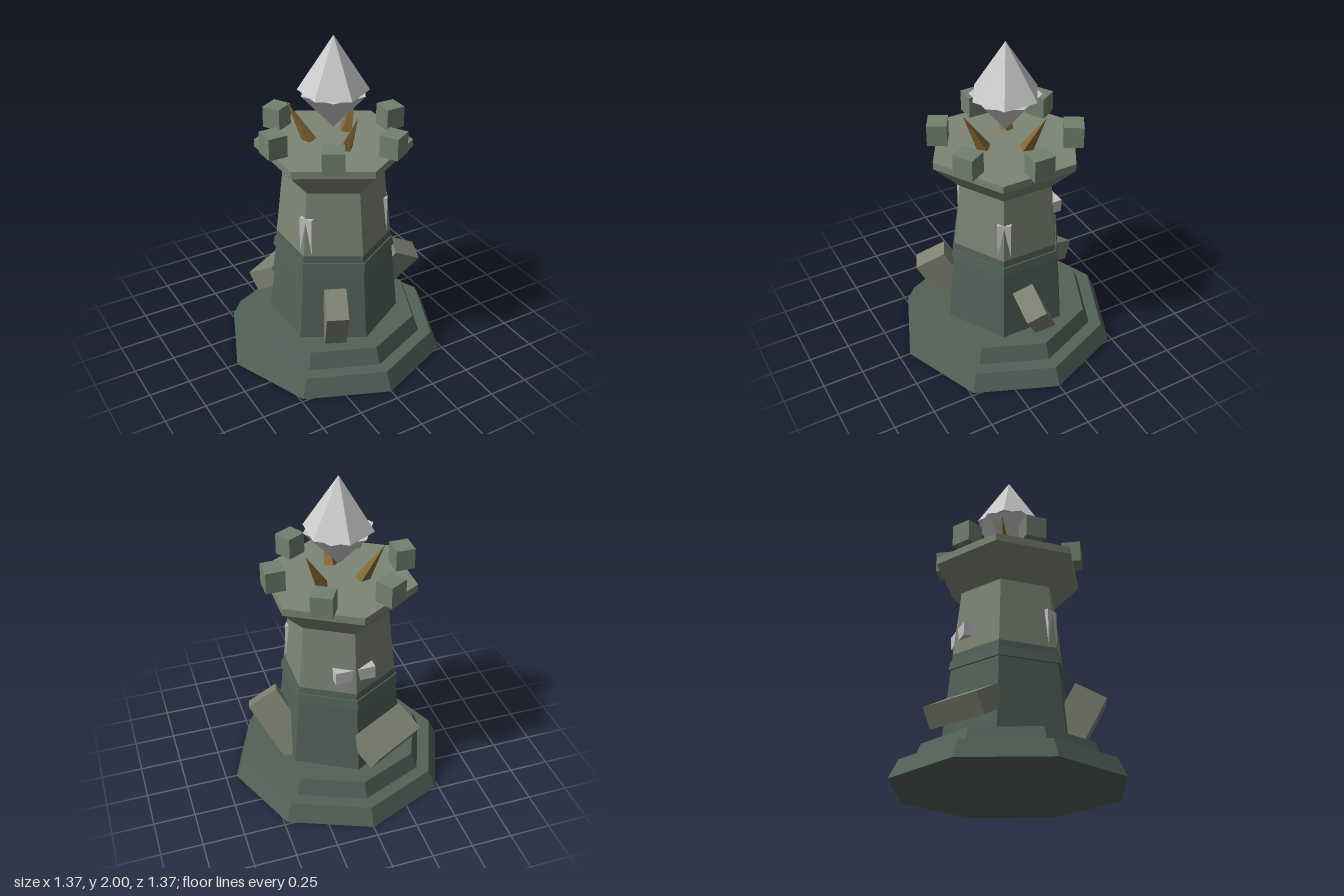
import * as THREE from 'three';

function material(name, color) {
  const m = new THREE.MeshStandardMaterial({ color, flatShading: true });
  m.name = name;
  return m;
}

export function createModel() {
  const model = new THREE.Group();
  model.name = 'tower';
  const darkStone = material('dark stone', 0x526259);
  const paleStone = material('pale stone', 0x7d8575);
  const mossStone = material('moss stone', 0x728170);
  const rock = material('rock', 0x7d8272);
  const silver = material('silver', 0xcccccc);
  const plaque = material('pale grey', 0xc2bfc2);
  const bronze = material('bronze', 0x876b36);

  function add(name, geometry, mat, parent = model) {
    const mesh = new THREE.Mesh(geometry, mat);
    mesh.name = name;
    parent.add(mesh);
    return mesh;
  }

  // Tapered prism standing between two heights
  function tier(name, sides, y0, y1, r0, r1, mat) {
    const mesh = add(name, new THREE.CylinderGeometry(r1, r0, y1 - y0, sides), mat);
    mesh.position.y = (y0 + y1) / 2;
    return mesh;
  }

  // Octagonal base and hexagonal shaft
  tier('baseStep', 8, 0, 0.11, 0.683, 0.63, darkStone);
  tier('upperStep', 8, 0.11, 0.21, 0.55, 0.51, darkStone);
  tier('lowerShaft', 6, 0.21, 0.76, 0.398, 0.344, darkStone);
  tier('shaftBand', 6, 0.66, 0.717, 0.367, 0.357, darkStone);
  tier('upperShaft', 6, 0.76, 1.16, 0.344, 0.3, paleStone);
  tier('flaredCrown', 6, 1.16, 1.325, 0.3, 0.458, paleStone);
  tier('crownSlab', 6, 1.325, 1.37, 0.458, 0.458, paleStone);

  // Six battlement blocks
  for (let i = 0; i < 6; i++) {
    const arm = new THREE.Group();
    arm.name = 'battlement';
    arm.rotation.y = (i * Math.PI) / 3;
    model.add(arm);
    add('battlementBlock', new THREE.BoxGeometry(0.115, 0.13, 0.125), mossStone, arm)
      .position.set(0.386, 1.435, 0);
  }

  // Three outward-leaning spikes around the crystal
  for (let i = 0; i < 3; i++) {
    const arm = new THREE.Group();
    arm.name = 'spikeArm';
    arm.rotation.y = (i * 2 * Math.PI) / 3;
    model.add(arm);
    const spike = add('spike', new THREE.ConeGeometry(0.043, 0.28, 4), bronze, arm);
    spike.position.set(0, 1.485, 0.201);
    spike.rotation.x = 0.48;
  }

  // Crystal: two hexagonal points turned against each other
  tier('crystalTop', 6, 1.68, 2, 0.205, 0, silver);
  tier('crystalBottom', 6, 1.45, 1.68, 0, 0.205, silver).rotation.y = Math.PI / 6;

  // Plaques set on three corners of the shaft; the back one lies sideways
  for (let i = 0; i < 3; i++) {
    const arm = new THREE.Group();
    arm.name = 'plaqueArm';
    arm.rotation.y = Math.PI / 3 + (i * 2 * Math.PI) / 3;
    model.add(arm);
    const panel = add('plaque', new THREE.BoxGeometry(0.08, 0.24, 0.06), plaque, arm);
    panel.position.set(0, 0.88, 0.29);
    if (i === 1) panel.rotation.z = Math.PI / 2;
  }

  // Leaning boulders, each placed by the midpoint of its outer top edge
  function boulder(edge, out, side, depth, height, width) {
    const o = new THREE.Vector3(...out).normalize();
    const s = new THREE.Vector3(...side).normalize();
    const up = new THREE.Vector3().crossVectors(s, o).normalize();
    s.crossVectors(o, up);
    const mesh = add('boulder', new THREE.BoxGeometry(depth, height, width), rock);
    mesh.quaternion.setFromRotationMatrix(new THREE.Matrix4().makeBasis(o, up, s));
    mesh.position.set(...edge).addScaledVector(o, -depth / 2).addScaledVector(up, -height / 2);
  }
  boulder([-0.255, 0.495, 0.495], [-0.37, -0.48, 0.8], [-0.8, 0, -0.37], 0.2, 0.4, 0.128);
  boulder([0.553, 0.487, 0.093], [0.88, -0.48, 0], [-0.2, -0.39, 0.9], 0.2, 0.4, 0.128);
  boulder([-0.25, 0.39, -0.435], [-0.43, -0.49, -0.76], [0.87, 0, -0.49], 0.2, 0.128, 0.39);

  return model;
}
